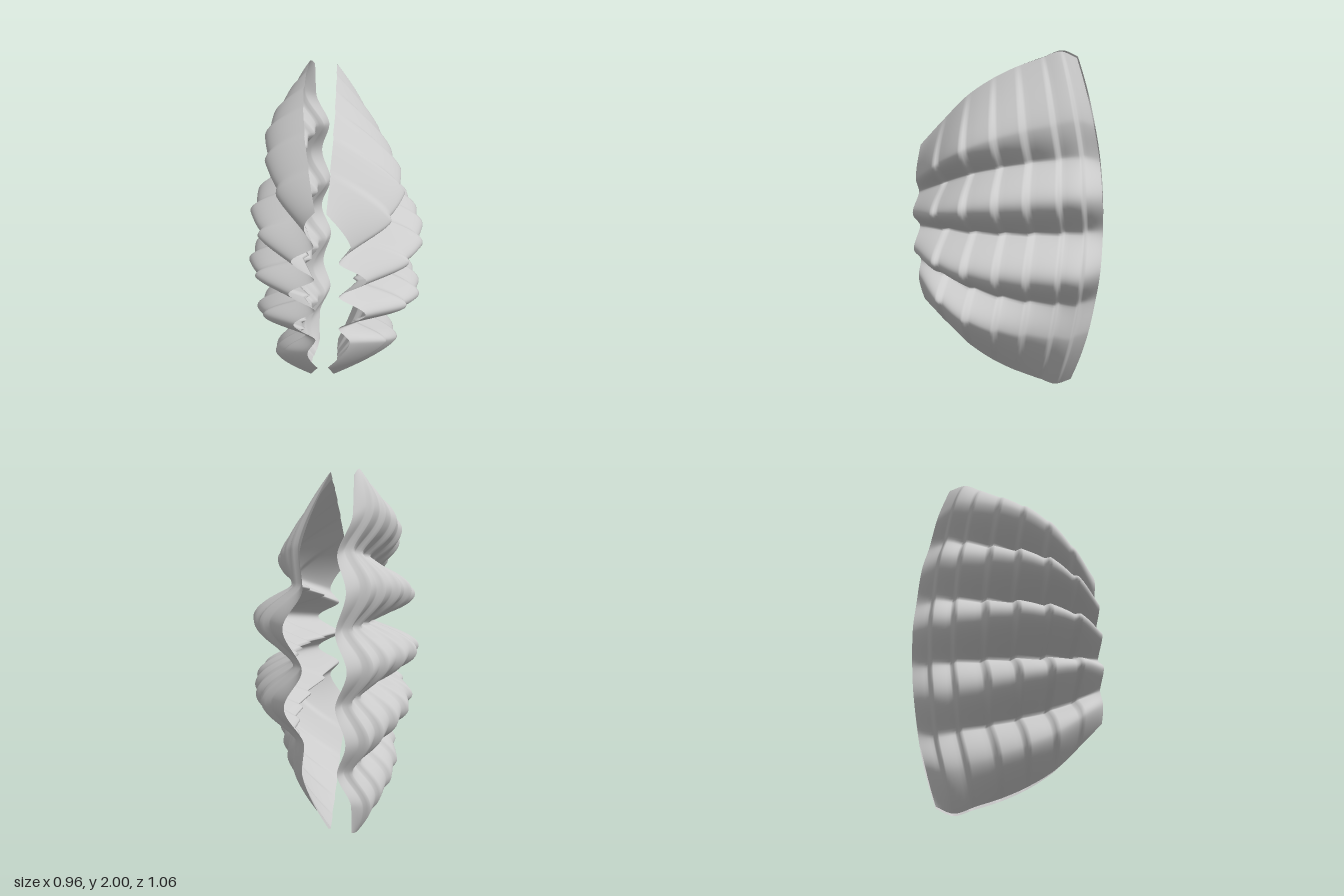
import * as THREE from 'three';

// growth bands, as fractions of the way from hinge (front) to lip (back)
const BANDS = [0, 0.15, 0.31, 0.47, 0.62, 0.78, 0.9, 1];
const SUB = [0, 0.08, 0.16, 0.24, 0.4, 0.6, 0.8, 0.93];
const ROWS = 160;

// smooth curve through one value per growth band
function curve(values) {
  const c = new THREE.CubicInterpolant(BANDS, values, 1);
  return (u) => c.evaluate(u)[0];
}

const halfHeight = curve([0.475, 0.615, 0.755, 0.85, 0.915, 0.965, 1, 0.965]);

// fold sharpness: soft waves at the hinge and lip, broad ridges with tight valleys between
const roundness = curve([0.9, 0.72, 0.64, 0.62, 0.65, 0.72, 0.82, 0.95]);

// folds: positions across the fan (0 = middle, 1 = margin), each a ridge or valley curve
const leftRidge = curve([0.2, 0.41, 0.48, 0.48, 0.445, 0.39, 0.32, 0.17]);
const leftOuterRidge = curve([0.12, 0.31, 0.37, 0.345, 0.29, 0.225, 0.16, 0.09]);
const leftValley = curve([0.06, 0.14, 0.2, 0.22, 0.21, 0.18, 0.14, 0.07]);
const leftMargin = curve([0, 0.005, 0.005, 0, -0.01, -0.02, -0.03, -0.035]);
const rightRidge = curve([0.2, 0.41, 0.48, 0.48, 0.425, 0.35, 0.28, 0.16]);
const rightMidRidge = curve([0.18, 0.38, 0.45, 0.44, 0.39, 0.325, 0.26, 0.15]);
const rightOuterRidge = curve([0.11, 0.27, 0.35, 0.375, 0.355, 0.31, 0.26, 0.17]);
const rightValley = curve([0.065, 0.14, 0.2, 0.22, 0.215, 0.195, 0.165, 0.1]);
const rightMargin = curve([0.055, 0.1, 0.14, 0.165, 0.18, 0.185, 0.18, 0.165]);

const VALVES = {
  leftValve: {
    side: 1, tall: 0.985, at: [0, 0.22, 0.43, 0.62, 1], firstIsRidge: false, marginCurve: 1.4,
    folds: [leftValley, leftRidge, leftValley, leftOuterRidge, leftMargin],
  },
  rightValve: {
    side: -1, tall: 1, at: [0, 0.2, 0.41, 0.6, 0.81, 1], firstIsRidge: true, marginCurve: 1.8,
    folds: [rightRidge, rightValley, rightMidRidge, rightValley, rightOuterRidge, rightMargin],
  },
};

// bulge of the shell away from the middle plane
function bulge(valve, u, step, v) {
  const { at, folds } = valve;
  const a = Math.abs(v);
  const last = at.length - 2;
  let k = 0;
  while (k < last && a > at[k + 1]) k++;
  const t = THREE.MathUtils.clamp((a - at[k]) / (at[k + 1] - at[k]), 0, 1);
  const startsOnRidge = (k % 2 === 0) === valve.firstIsRidge;
  const round = (s) => THREE.MathUtils.smoothstep(s ** roundness(u), 0, 1);
  let mix = startsOnRidge ? 1 - round(1 - t) : round(t);
  if (k === last) mix = t ** valve.marginCurve;
  return THREE.MathUtils.lerp(folds[k](u), folds[k + 1](u), mix) - step * (1 - 0.9 * a ** 4);
}

function valveGeometry(valve) {
  // columns along the growth direction, each with its inward step behind a band edge
  const columns = [];
  for (let b = 0; b < BANDS.length - 1; b++) {
    for (const t of SUB) {
      const u = THREE.MathUtils.lerp(BANDS[b], BANDS[b + 1], t);
      const step = b === 0 ? 0 : 0.045 * THREE.MathUtils.smoothstep(t, 0, 0.2) * (1 - t);
      columns.push([u, step]);
    }
  }
  columns.push([1, 0]);

  const positions = [];
  const index = [];
  const w = ROWS + 1;
  columns.forEach(([u, step], i) => {
    for (let j = 0; j <= ROWS; j++) {
      const v = (j / ROWS) * 2 - 1;
      positions.push(
        valve.side * bulge(valve, u, step, v),
        1 + v * halfHeight(u) * valve.tall,
        0.53 - 1.06 * u + 0.17 * u * v * v,
      );
      if (i < columns.length - 1 && j < ROWS) {
        const a = i * w + j, b = a + w, c = a + 1, d = b + 1;
        if (valve.side > 0) index.push(a, b, c, b, d, c);
        else index.push(a, c, b, b, c, d);
      }
    }
  });
  const geometry = new THREE.BufferGeometry();
  geometry.setAttribute('position', new THREE.Float32BufferAttribute(positions, 3));
  geometry.setIndex(index);
  geometry.computeVertexNormals();
  return geometry;
}

export function createModel() {
  const group = new THREE.Group();
  group.name = 'clamShell';
  const material = new THREE.MeshStandardMaterial({ color: 0xcccccc, side: THREE.DoubleSide });
  for (const [name, valve] of Object.entries(VALVES)) {
    const mesh = new THREE.Mesh(valveGeometry(valve), material);
    mesh.name = name;
    group.add(mesh);
  }
  return group;
}
